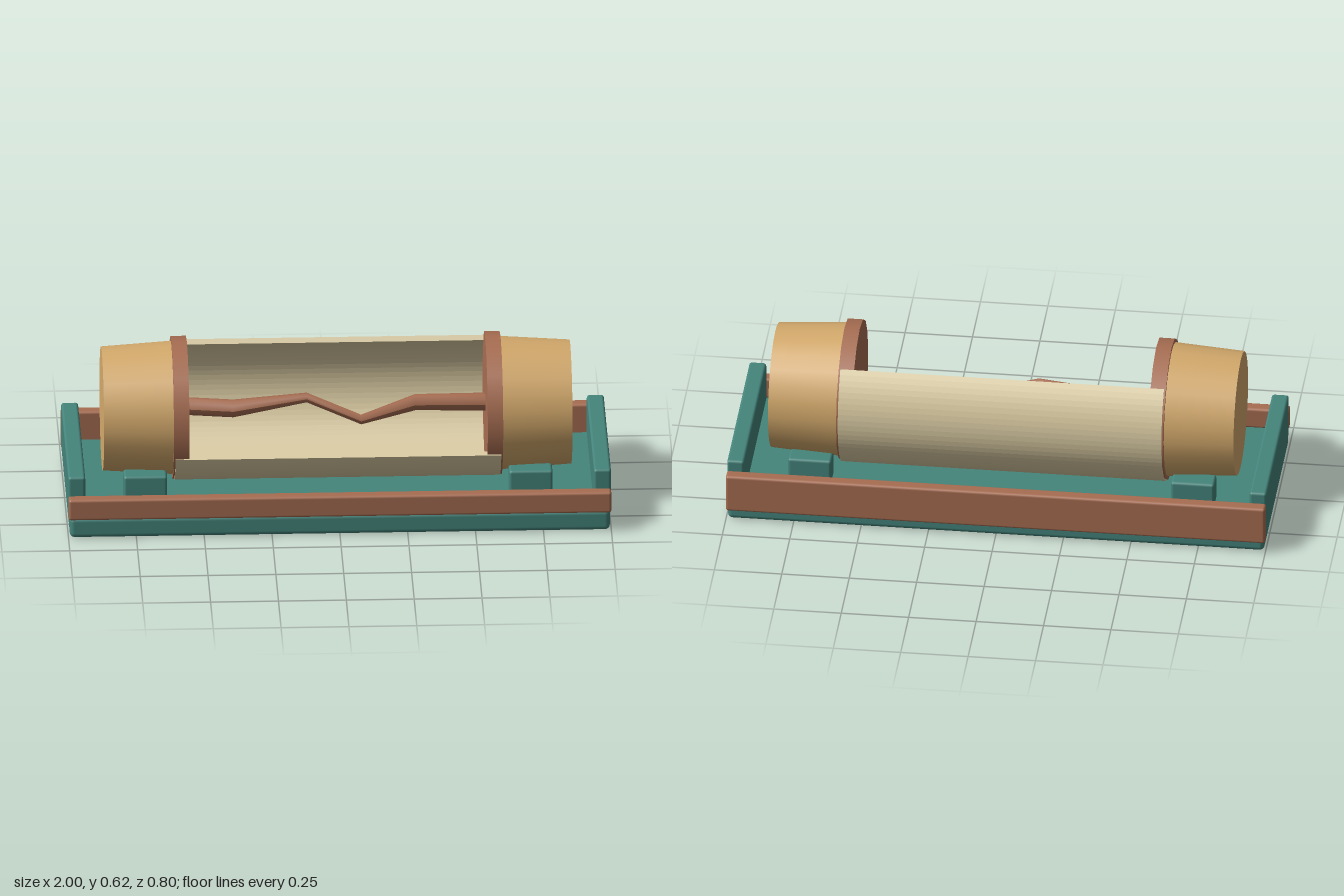
import * as THREE from 'three';
import { RoundedBoxGeometry } from 'three/addons/geometries/RoundedBoxGeometry.js';

const material = (name, color, side = THREE.FrontSide) => {
  const m = new THREE.MeshStandardMaterial({ color, side });
  m.name = name;
  return m;
};

export function createModel() {
  const model = new THREE.Group();
  model.name = 'cartridgeFuse';
  const teal = material('teal', 0x45857c);
  const copper = material('copper', 0xa86e52);
  const brass = material('brass', 0xd4aa6c);
  const cream = material('cream', 0xdccda4);
  const axisY = 0.355;

  const add = (name, geometry, mat) => {
    const mesh = new THREE.Mesh(geometry, mat);
    mesh.name = name;
    model.add(mesh);
    return mesh;
  };
  // Bevelled box given by its extents on each axis
  const block = (name, [x0, x1], [y0, y1], [z0, z1], bevel, mat) =>
    add(name, new RoundedBoxGeometry(x1 - x0, y1 - y0, z1 - z0, 2, bevel), mat)
      .position.set((x0 + x1) / 2, (y0 + y1) / 2, (z0 + z1) / 2);

  // Tray with a low front rail and a taller back rail
  block('base', [-0.995, 0.995], [0, 0.08], [-0.385, 0.385], 0.018, teal);
  block('frontRail', [-1, 1], [0.077, 0.159], [0.353, 0.402], 0.01, copper);
  block('backRail', [-1, 1], [0.043, 0.191], [-0.402, -0.353], 0.01, copper);

  for (const [side, s] of [['left', 1], ['right', -1]]) {
    const span = (a, b) => (s > 0 ? [a, b] : [-b, -a]);
    block(side + 'EndWall', span(0.937, 1), [0.06, 0.231], [-0.355, 0.355], 0.01, teal);

    // Small cradle blocks under each cap
    for (const [end, z] of [['Front', 0.18], ['Back', -0.18]])
      block(side + end + 'Cradle', span(0.63, 0.79), [0.07, 0.172], [z - 0.04, z + 0.04], 0.01, teal);

    // Tapered cap and faceted collar
    const cap = add(side + 'Cap', new THREE.CylinderGeometry(0.23, 0.248, 0.27, 24), brass);
    cap.rotation.z = -s * Math.PI / 2;
    cap.position.set(s * 0.728, axisY, 0);
    const collar = add(side + 'Collar', new THREE.CylinderGeometry(0.263, 0.263, 0.057, 16), copper);
    collar.rotation.z = -s * Math.PI / 2;
    collar.position.set(s * 0.578, axisY, 0);
  }

  // Tube cut away at the upper front
  const from = THREE.MathUtils.degToRad(204), to = THREE.MathUtils.degToRad(407);
  const arc = new THREE.Shape();
  arc.absarc(0, 0, 0.266, from, to, false);
  arc.absarc(0, 0, 0.245, to, from, true);
  const tube = new THREE.ExtrudeGeometry(arc, { depth: 1.2, bevelEnabled: false, curveSegments: 22 });
  tube.translate(0, 0, -0.6).rotateY(Math.PI / 2);
  add('tubeShell', tube, cream).position.y = axisY;

  // Crooked filament: x, y, z and radius of each ring
  const rings = [
    [-0.56, 0.36, 0, 0.033], [-0.38, 0.362, 0.035, 0.033], [-0.11, 0.405, 0.043, 0.018],
    [0.09, 0.327, 0.075, 0.018], [0.29, 0.375, 0.032, 0.03], [0.56, 0.36, 0, 0.033],
  ];
  const wire = new THREE.CylinderGeometry(1, 1, 1, 10, rings.length - 1, true);
  wire.rotateZ(-Math.PI / 2);
  const p = wire.attributes.position;
  for (let i = 0; i < p.count; i++) {
    const [x, y, z, r] = rings[Math.round((p.getX(i) + 0.5) * (rings.length - 1))];
    p.setXYZ(i, x, y + p.getY(i) * r, z + p.getZ(i) * r);
  }
  wire.computeVertexNormals();
  add('filament', wire, copper);

  return model;
}
